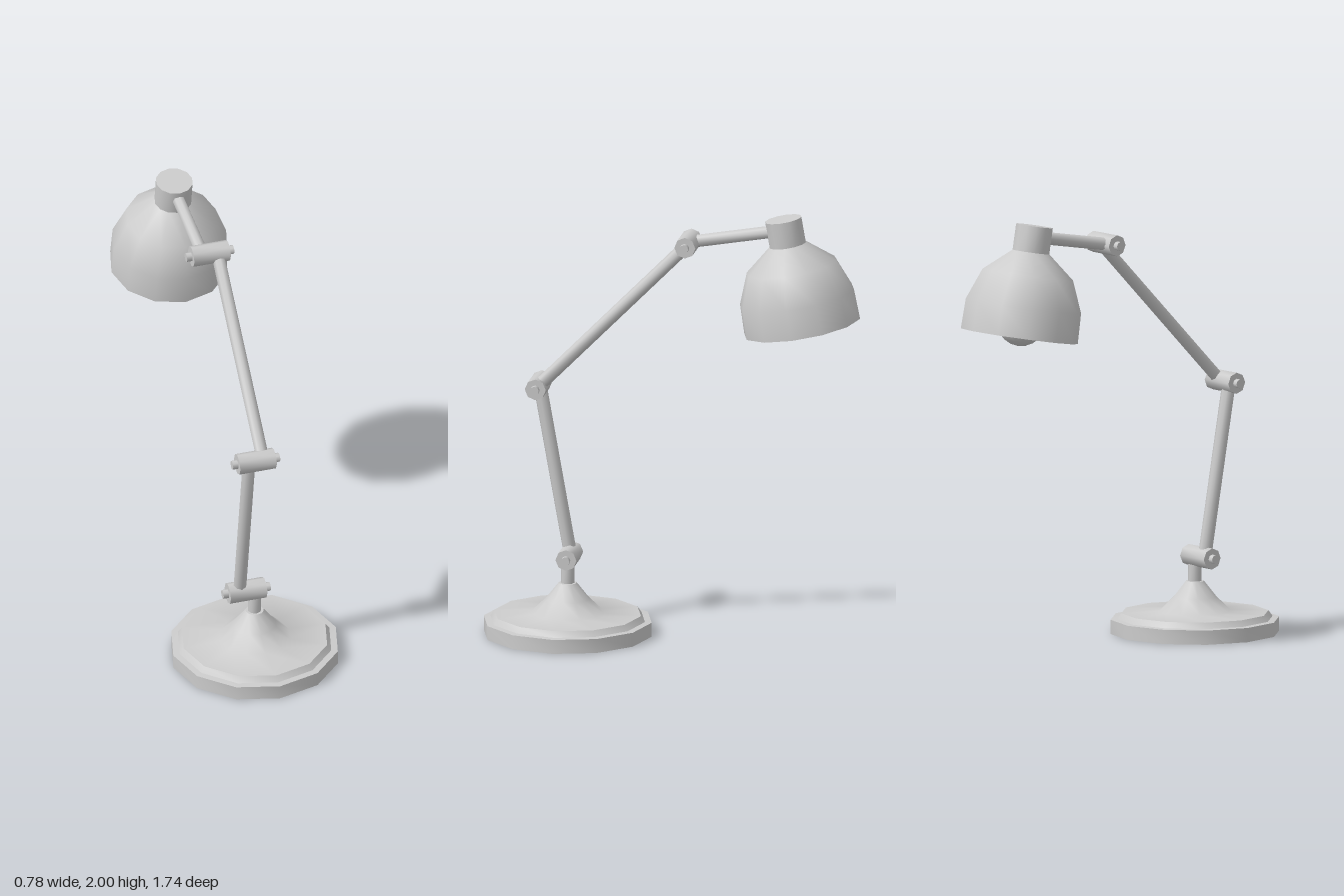
import * as THREE from 'three';
import { toCreasedNormals } from 'three/addons/utils/BufferGeometryUtils.js';

const SIDES = 12;
const grey = new THREE.MeshStandardMaterial({ color: 0xcccccc, side: THREE.DoubleSide });

function add(parent, name, geometry, crease = 0.9) {
  const mesh = new THREE.Mesh(toCreasedNormals(geometry, crease), grey);
  mesh.name = name;
  parent.add(mesh);
  return mesh;
}

// Surface of revolution from [radius, height] pairs, listed bottom to top
const lathe = (points) =>
  new THREE.LatheGeometry(points.map(([r, y]) => new THREE.Vector2(r, y)), SIDES);

// Straight round bar between two points
function rod(parent, name, from, to, radius) {
  const direction = to.clone().sub(from);
  const mesh = add(parent, name, new THREE.CylinderGeometry(radius, radius, direction.length(), 8));
  mesh.position.copy(from).add(to).multiplyScalar(0.5);
  mesh.quaternion.setFromUnitVectors(new THREE.Vector3(0, 1, 0), direction.normalize());
  return mesh;
}

// Hinge: a barrel across the arms with a thinner pin through it
function hinge(parent, name, y, z) {
  const group = new THREE.Group();
  group.name = name;
  group.position.set(-0.041, y, z);
  for (const [part, radius, length] of [['barrel', 0.049, 0.176], ['pin', 0.021, 0.227]]) {
    const mesh = add(group, part, new THREE.CylinderGeometry(radius, radius, length, 8));
    mesh.rotation.z = Math.PI / 2;
  }
  parent.add(group);
}

export function createModel() {
  const lamp = new THREE.Group();
  lamp.name = 'deskLamp';

  // Foot: stepped disc, flared cone and short post
  const foot = new THREE.Group();
  foot.name = 'foot';
  foot.position.z = 0.482;
  lamp.add(foot);
  add(foot, 'baseDisc', lathe([[0, 0], [0.391, 0], [0.391, 0.066], [0.36, 0.068], [0.341, 0.095], [0.3, 0.096]]), 0.6);
  add(foot, 'baseCone', lathe([[0.341, 0.095], [0.165, 0.102], [0.1, 0.165], [0.042, 0.239], [0, 0.239]]));
  rod(foot, 'post', new THREE.Vector3(0, 0.22, 0), new THREE.Vector3(0, 0.355, 0), 0.031);

  // Hinges and arms, which pass on alternating sides
  const joints = [[0.355, 0.482], [1.157, 0.625], [1.86, -0.072]];
  ['lowerHinge', 'elbowHinge', 'upperHinge'].forEach((name, i) => hinge(lamp, name, ...joints[i]));
  const at = (x, [y, z]) => new THREE.Vector3(x, y, z);
  rod(lamp, 'lowerArm', at(-0.072, joints[0]), at(-0.072, joints[1]), 0.031);
  rod(lamp, 'upperArm', at(-0.004, joints[1]), at(-0.004, joints[2]), 0.03);
  rod(lamp, 'headArm', at(-0.072, joints[2]), at(-0.072, [1.928, -0.47]), 0.029);

  // Tilted head; its origin is the middle of the shade rim
  const head = new THREE.Group();
  head.name = 'head';
  head.position.set(-0.072, 1.484, -0.598);
  head.rotation.x = THREE.MathUtils.degToRad(10);
  lamp.add(head);
  const wall = [[0.274, 0], [0.27, 0.14], [0.212, 0.285], [0.086, 0.39]];
  const inner = wall.map(([r, y]) => [r - 0.014, y && y - 0.01]).reverse();
  add(head, 'shade', lathe([...inner, ...wall]), 0.65);

  const cap = add(head, 'cap', new THREE.CylinderGeometry(0.086, 0.086, 0.135, SIDES));
  cap.position.y = 0.4435;
  const socket = add(head, 'bulbSocket', new THREE.CylinderGeometry(0.05, 0.05, 0.24, SIDES));
  socket.position.y = 0.26;
  const bulb = add(head, 'bulb', new THREE.SphereGeometry(0.112, 14, 10));
  bulb.position.y = 0.066;

  return lamp;
}
